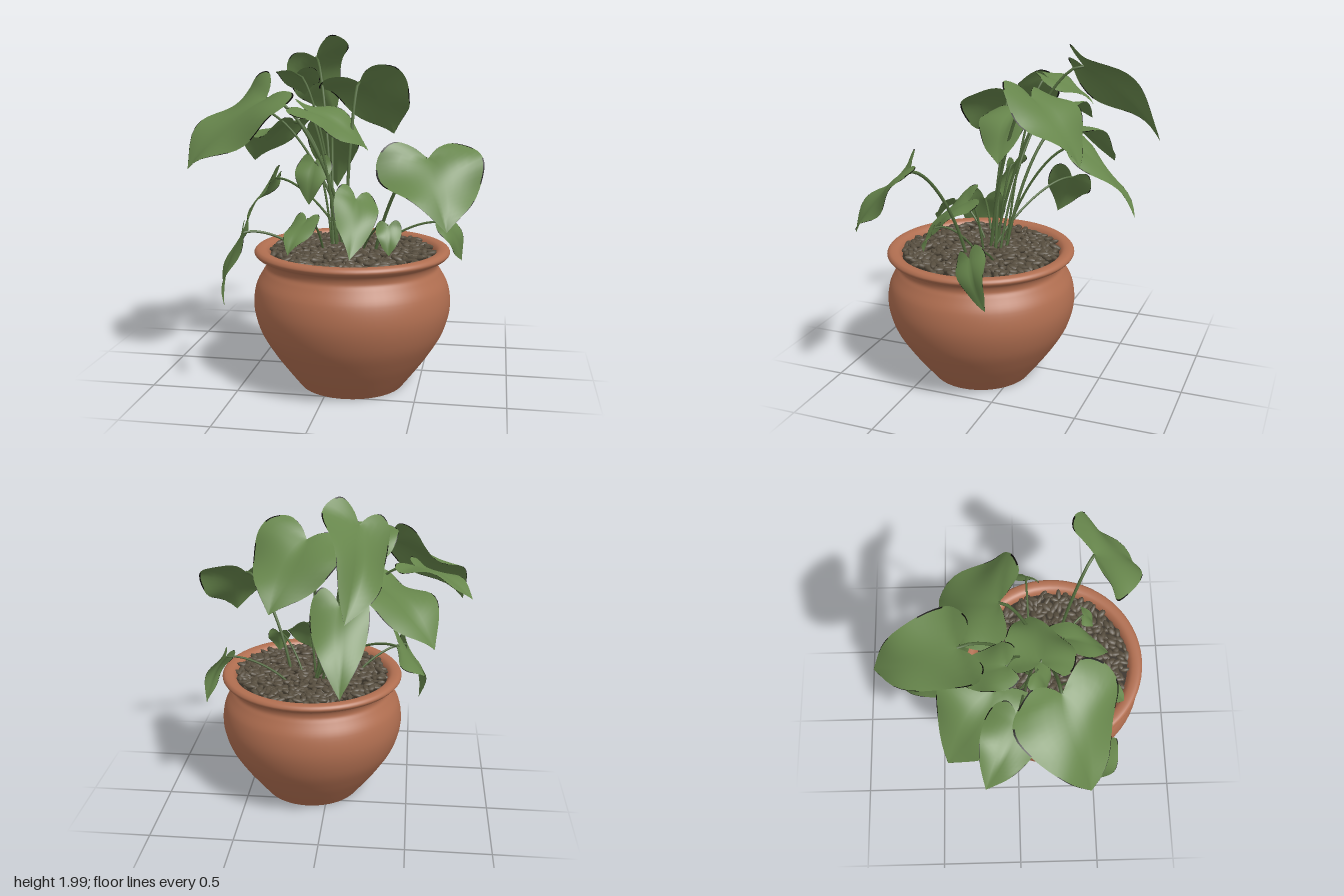
import * as THREE from 'three';
import { mergeGeometries } from 'three/addons/utils/BufferGeometryUtils.js';

const mat = (name, color, side = THREE.FrontSide) => {
  const m = new THREE.MeshStandardMaterial({ color, side });
  m.name = name;
  return m;
};

// Right half of a heart outline: [side, forward], from the notch to the tip
const HALF = new THREE.CatmullRomCurve3(
  [[0, 0], [0.12, -0.13], [0.3, -0.2], [0.46, -0.08], [0.51, 0.14], [0.44, 0.42], [0.28, 0.7], [0, 1]]
    .map(([x, y]) => new THREE.Vector3(x, y, 0)));

// Heart-shaped blade from its stem joint to its tip, rolled about its midrib.
// Group 0 is the blade, group 1 the withered patches along its edge.
function leafGeometry(base, tip, width, roll, phase) {
  const f = tip.clone().sub(base), len = f.length();
  f.normalize();
  const s = new THREE.Vector3(f.z, 0, -f.x).normalize().applyAxisAngle(f, roll);
  const n = new THREE.Vector3().crossVectors(f, s);
  const rows = 26, cols = 14, pos = [], blade = [], edgeFaces = [];
  for (let i = 0; i <= rows; i++) {
    const t = i / rows, edge = HALF.getPoint(t), rib = Math.pow(t, 1.6);
    const withered = i === rows - 1 || Math.sin(i * 0.9 + phase) > 0;
    for (let j = 0; j <= cols; j++) {
      const inner = ((j - 1) / (cols - 2)) * 2 - 1;
      const v = j === 0 ? -1 : j === cols ? 1 : inner * 0.97;
      const x = edge.x * v, y = rib + (edge.y - rib) * Math.abs(v);
      const arch = 0.32 * Math.max(y, 0) * (1 - y) - 0.5 * Math.min(y, 0) ** 2;
      const cup = 0.22 * Math.abs(x) - 0.55 * x * x;
      const wave = 0.2 * x * Math.sin(y * 6 + phase + (v > 0 ? 1.3 : 0));
      const p = base.clone().addScaledVector(s, x * width).addScaledVector(f, y * len)
        .addScaledVector(n, arch * len + (cup + wave) * width);
      pos.push(p.x, p.y, p.z);
      if (i < rows && j < cols) {
        const k = i * (cols + 1) + j, q = k + cols + 1;
        const isEdge = withered && i > 1 && (j === 0 || j === cols - 1);
        (isEdge ? edgeFaces : blade).push(k, q, k + 1, k + 1, q, q + 1);
      }
    }
  }
  const g = new THREE.BufferGeometry();
  g.setAttribute('position', new THREE.Float32BufferAttribute(pos, 3));
  g.setIndex(blade.concat(edgeFaces));
  g.addGroup(0, blade.length, 0);
  g.addGroup(blade.length, edgeFaces.length, 1);
  g.computeVertexNormals();
  return g;
}

// Each leaf: joint, tip, width, roll
const TALL_LEAVES = [
  [[-0.38, 1.63, 0.22], [-0.8, 1.24, 0.38], 0.61, -0.33],
  [[-0.2, 1.85, -0.3], [-0.16, 1.46, -0.77], 0.42, -0.76],
  [[-0.3, 1.47, -0.13], [-0.62, 1.2, -0.39], 0.53, -0.05],
  [[0.1, 1.71, -0.09], [0.27, 1.38, -0.43], 0.54, -0.2],
  [[-0.1, 1.4, -0.3], [-0.13, 1.0, -0.65], 0.32, 0],
  [[-0.5, 1.55, -0.01], [-0.82, 1.42, -0.18], 0.31, -0.17],
  [[-0.18, 1.56, 0.12], [0.18, 1.33, 0.08], 0.38, 0.28],
  [[-0.27, 1.76, -0.06], [-0.28, 1.62, -0.34], 0.26, 0],
  [[-0.43, 1.12, -0.17], [-0.58, 0.84, -0.03], 0.27, 0.6],
  [[-0.13, 1.26, 0.1], [-0.15, 1.02, 0.17], 0.21, 0],
];
const LOW_LEAVES = [
  [[0.55, 1.34, 0.46], [0.67, 1.0, 0.73], 0.56, 0],
  [[-0.47, 0.9, 0.44], [-0.56, 0.5, 0.52], 0.28, 0.43],
  [[0.62, 0.92, 0.07], [0.72, 0.67, -0.06], 0.2, 1.2],
  [[0.14, 1.08, 0.28], [0.15, 0.8, 0.57], 0.25, -0.4],
  [[-0.1, 0.99, 0.48], [-0.17, 0.83, 0.64], 0.18, 0],
  [[0.34, 0.96, 0.41], [0.35, 0.81, 0.48], 0.14, 0],
];

export function createModel() {
  const model = new THREE.Group();
  const add = (name, geometry, material, parent) => {
    const mesh = new THREE.Mesh(geometry, material);
    mesh.name = name;
    parent.add(mesh);
  };
  const terracotta = mat('terracotta', 0xb06e50, THREE.DoubleSide);
  const leafGreen = mat('leaf green', 0x67864c, THREE.DoubleSide);
  const witheredBlack = mat('withered black', 0x0e0e09, THREE.DoubleSide);
  const stemGreen = mat('stem green', 0x50693b);
  const gravelBrown = mat('gravel brown', 0x564d3e);
  const soilBrown = mat('soil brown', 0x332d24);

  // Pot: turned wall with a rolled rim, and a flat bottom
  const wall = new THREE.CatmullRomCurve3([
    [0.3, 0], [0.37, 0.09], [0.45, 0.2], [0.525, 0.33], [0.56, 0.47], [0.545, 0.59], [0.505, 0.665], [0.487, 0.7],
    [0.498, 0.738], [0.54, 0.757], [0.555, 0.778], [0.54, 0.798], [0.495, 0.797], [0.47, 0.77], [0.46, 0.7],
  ].map(([r, y]) => new THREE.Vector3(r, y, 0)), false, 'centripetal');
  const profile = wall.getPoints(70).map((p) => new THREE.Vector2(p.x, p.y));
  const pot = new THREE.Group();
  pot.name = 'pot';
  pot.position.set(0.11, 0, 0.22);
  model.add(pot);
  add('potWall', new THREE.LatheGeometry(profile, 64), terracotta, pot);
  add('potBottom', new THREE.CircleGeometry(0.3, 64).rotateX(Math.PI / 2), terracotta, pot);
  add('soil', new THREE.CircleGeometry(0.475, 48).rotateX(-Math.PI / 2).translate(0, 0.755, 0), soilBrown, pot);

  // Gravel: long pebbles in a jittered spiral
  let seed = 7;
  const rand = () => (seed = (seed * 16807) % 2147483647) / 2147483647;
  const pebbles = [];
  const count = 520;
  for (let i = 0; i < count; i++) {
    const r = 0.455 * Math.sqrt((i + 0.5) / count), a = i * 2.39996;
    pebbles.push(new THREE.SphereGeometry(1, 8, 6)
      .scale(0.03 + rand() * 0.014, 0.012 + rand() * 0.005, 0.015 + rand() * 0.007)
      .rotateZ((rand() - 0.5) * 0.7)
      .rotateY(rand() * Math.PI * 2)
      .translate(r * Math.cos(a) + (rand() - 0.5) * 0.02, 0.77 + rand() * 0.02, r * Math.sin(a) + (rand() - 0.5) * 0.02));
  }
  add('gravel', mergeGeometries(pebbles), gravelBrown, pot);

  // Plant: an arching stem and a blade for every leaf; low leaves root further out
  const plant = new THREE.Group();
  plant.name = 'plant';
  model.add(plant);
  const grow = (leaves, spread) => leaves.forEach(([joint, point, width, roll], i) => {
    const base = new THREE.Vector3(...joint), tip = new THREE.Vector3(...point);
    const start = new THREE.Vector3(0.03 + 0.05 * Math.cos(i * 2.4), 0, 0.14 + 0.05 * Math.sin(i * 2.4))
      .lerp(base, spread).setY(0.76);
    const c1 = start.clone().lerp(base, 0.2).setY(start.y + (base.y - start.y) * 0.55);
    const c2 = start.clone().lerp(base, 0.7).setY(base.y + 0.03);
    const path = new THREE.CubicBezierCurve3(start, c1, c2, base);
    add('stem', new THREE.TubeGeometry(path, 20, 0.005 + 0.008 * width, 7), stemGreen, plant);
    add('leaf', leafGeometry(base, tip, width, roll, i * 1.7), [leafGreen, witheredBlack], plant);
  });
  grow(TALL_LEAVES, 0);
  grow(LOW_LEAVES, 0.35);
  return model;
}
